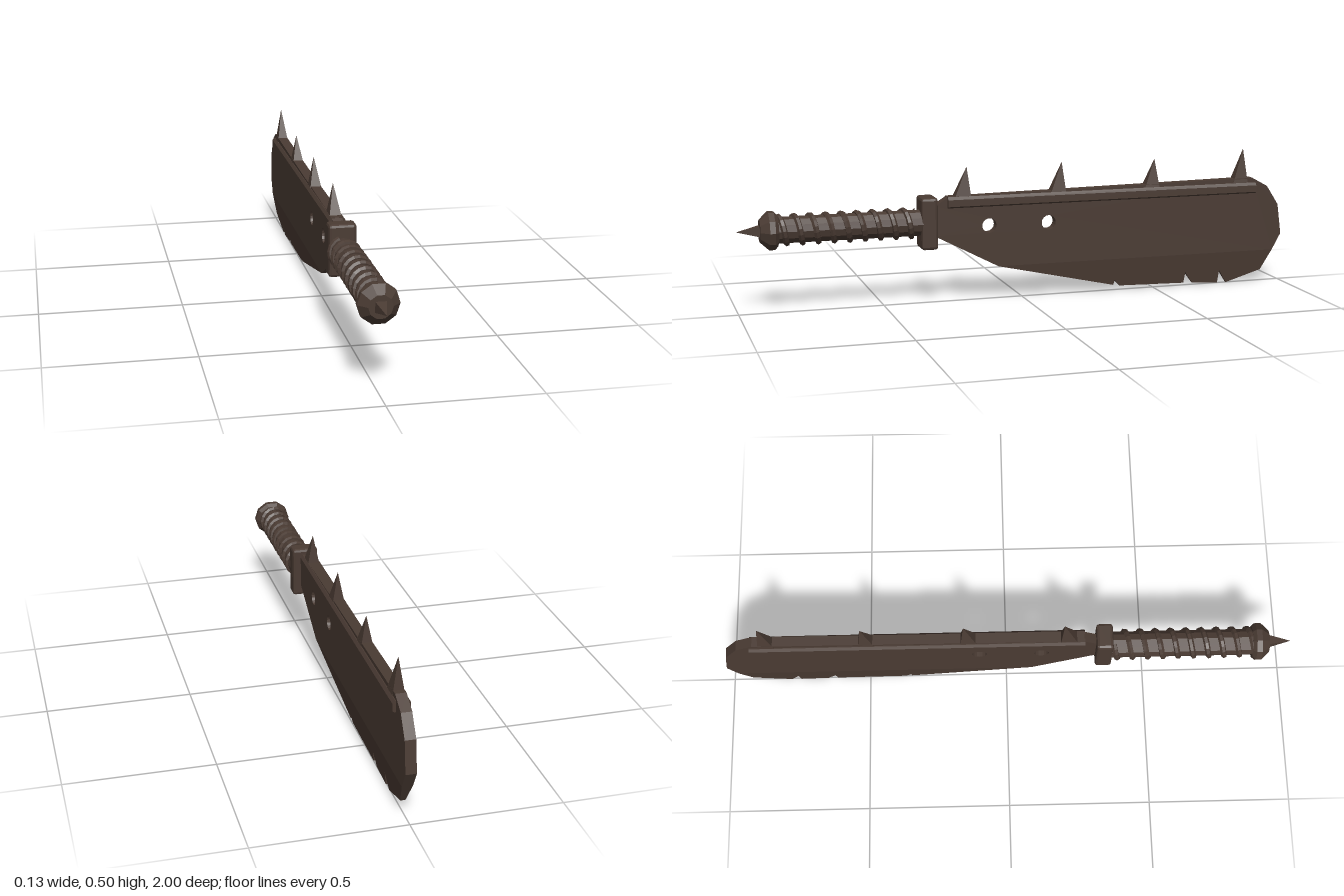
import * as THREE from 'three';
import { RoundedBoxGeometry } from 'three/addons/geometries/RoundedBoxGeometry.js';

const AXIS_Y = 0.288; // height of the handle axis
const HALF = 0.018;   // half thickness of the blade
const BEVEL_Y = 0.12; // the blade thins toward the edge below this height

export function createModel() {
  const group = new THREE.Group();
  group.name = 'machete';
  const iron = new THREE.MeshStandardMaterial({ color: 0x4a3b33 });
  iron.name = 'dark brown iron';
  iron.flatShading = true;

  const add = (name, geometry, parent = group) => {
    const mesh = new THREE.Mesh(geometry, iron);
    mesh.name = name;
    parent.add(mesh);
    return mesh;
  };

  // Outlines are drawn as (-z, y) and extruded across x
  const plate = (points, holes = []) => {
    const shape = new THREE.Shape(points.map(p => new THREE.Vector2(...p)));
    for (const [u, y, r] of holes) {
      shape.holes.push(new THREE.Path().absarc(u, y, r, 0, Math.PI * 2, true));
    }
    const geometry = new THREE.ExtrudeGeometry(shape, {
      depth: HALF * 2, bevelEnabled: false, curveSegments: 8,
    });
    geometry.translate(0, 0, -HALF);
    const pos = geometry.attributes.position;
    for (let i = 0; i < pos.count; i++) {
      const t = Math.min(1, Math.max(0, pos.getY(i) / BEVEL_Y));
      pos.setZ(i, pos.getZ(i) * (0.15 + 0.85 * t));
    }
    geometry.rotateY(Math.PI / 2);
    geometry.computeVertexNormals();
    return geometry;
  };

  // Blade: flat upper body with two holes, and a notched tapering edge
  const blade = new THREE.Group();
  blade.name = 'blade';
  group.add(blade);
  add('bladeBody', plate([
    [-0.32, 0.24], [-0.09, BEVEL_Y], [0.967, BEVEL_Y], [1, 0.18], [0.985, 0.29],
    [0.94, 0.36], [0.88, 0.393], [-0.27, 0.375], [-0.32, 0.345],
  ], [[-0.123, 0.268, 0.026], [0.095, 0.268, 0.026]]), blade);
  add('bladeEdge', plate([
    [-0.09, BEVEL_Y], [0.345, 0.022], [0.35, 0.04], [0.37, 0.018],
    [0.62, 0.012], [0.625, 0.052], [0.655, 0.01], [0.755, 0.003],
    [0.76, 0.052], [0.79, 0.003], [0.925, 0.045], [0.967, BEVEL_Y],
  ]), blade);

  // Chamfered reinforcing rails on both sides of the spine
  for (const side of [1, -1]) {
    const section = [[0.008, 0.337], [0.024, 0.337], [0.029, 0.342],
      [0.029, 0.366], [0.021, 0.376], [0.008, 0.376]];
    const shape = new THREE.Shape(section.map(([x, y]) => new THREE.Vector2(side * x, y)));
    const geometry = new THREE.ExtrudeGeometry(shape, { depth: 1.165, bevelEnabled: false });
    geometry.translate(0, 0, -0.892);
    add(side > 0 ? 'leftSpineRail' : 'rightSpineRail', geometry);
  }

  // Four-sided spikes, leaning back: [front z, back z, tip z, tip y]
  const spikes = [[0.25, 0.188, 0.2, 0.477], [-0.1, -0.16, -0.148, 0.48],
    [-0.455, -0.515, -0.5, 0.477], [-0.8, -0.862, -0.848, 0.5]];
  for (const [z0, z1, tipZ, tipY] of spikes) {
    const base = 0.365;
    const geometry = new THREE.ConeGeometry(Math.SQRT1_2, 1, 4);
    geometry.rotateY(Math.PI / 4);
    geometry.translate(0, 0.5, 0);
    const pos = geometry.attributes.position;
    const mid = (z0 + z1) / 2;
    for (let i = 0; i < pos.count; i++) {
      const h = pos.getY(i);
      pos.setXYZ(i, pos.getX(i) * 0.044, base + h * (tipY - base),
        mid + pos.getZ(i) * (z0 - z1) + h * (tipZ - mid));
    }
    geometry.computeVertexNormals();
    add('spineSpike', geometry);
  }

  // Guard block
  add('guard', new RoundedBoxGeometry(0.094, 0.182, 0.058, 1, 0.01))
    .position.set(0, AXIS_Y, 0.342);

  // Grip with a cord wound around it
  const grip = new THREE.CylinderGeometry(0.046, 0.046, 0.52, 12);
  grip.rotateX(Math.PI / 2);
  add('grip', grip).position.set(0, AXIS_Y, 0.62);

  class Helix extends THREE.Curve {
    getPoint(t, target = new THREE.Vector3()) {
      const a = t * Math.PI * 2 * 9.2;
      return target.set(-0.046 * Math.cos(a), 0.046 * Math.sin(a), 0.87 - 0.495 * t);
    }
  }
  add('gripCord', new THREE.TubeGeometry(new Helix(), 150, 0.0105, 6, false))
    .position.y = AXIS_Y;

  // Ten-sided pommel with a square spike on its end
  const profile = [[0, 0.862], [0.056, 0.862], [0.067, 0.874], [0.067, 0.893],
    [0.039, 0.922], [0, 0.922]].map(p => new THREE.Vector2(...p));
  const pommel = new THREE.LatheGeometry(profile, 10, Math.PI / 2);
  pommel.rotateX(Math.PI / 2);
  add('pommel', pommel).position.y = AXIS_Y;

  const point = new THREE.ConeGeometry(0.0255, 0.08, 4);
  point.rotateY(Math.PI / 4);
  point.rotateX(Math.PI / 2);
  add('pommelSpike', point).position.set(0, AXIS_Y, 0.96);

  return group;
}
